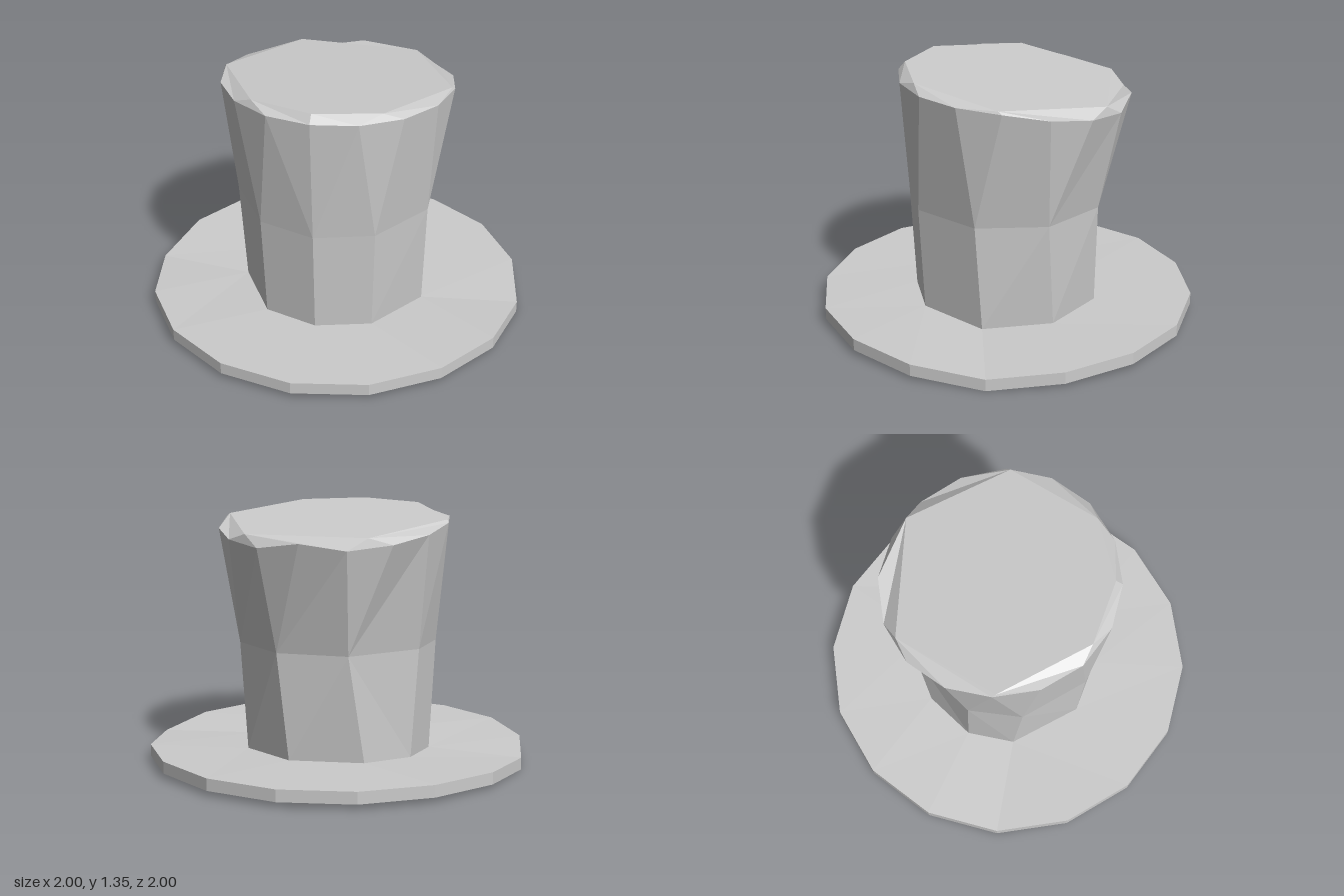
import * as THREE from 'three';

const material = new THREE.MeshStandardMaterial({ color: 0xcccccc, flatShading: true, side: THREE.DoubleSide });

// Point at an angle in degrees, measured from the front (+z) towards +x
function polar(deg, r, yOf, cz = 0) {
  const a = THREE.MathUtils.degToRad(deg);
  const x = r * Math.sin(a), z = r * Math.cos(a) + cz;
  return new THREE.Vector3(x, yOf(z), z);
}

// Triangles joining two closed rings, which may have different point counts
function stitch(a, b) {
  const angle = (ring, i) => {
    const p = ring[i % ring.length];
    const t = Math.atan2(p.x, p.z);
    if (i >= ring.length) return t + 2 * Math.PI;
    return t < -1e-6 ? t + 2 * Math.PI : t;
  };
  const at = (ring, i) => ring[i % ring.length];
  const out = [];
  let i = 0, j = 0;
  while (i < a.length || j < b.length) {
    const stepA = j >= b.length || (i < a.length && angle(a, i + 1) <= angle(b, j + 1));
    if (stepA) out.push(at(a, i), at(a, ++i), at(b, j));
    else out.push(at(a, i), at(b, j + 1), at(b, j++));
  }
  return out;
}

function fan(ring) {
  const out = [];
  for (let i = 1; i < ring.length - 1; i++) out.push(ring[0], ring[i], ring[i + 1]);
  return out;
}

function part(name, points) {
  const geometry = new THREE.BufferGeometry().setFromPoints(points);
  geometry.computeVertexNormals();
  const mesh = new THREE.Mesh(geometry, material);
  mesh.name = name;
  return mesh;
}

export function createModel() {
  const hat = new THREE.Group();
  hat.name = 'topHat';
  const sixteen = Array.from({ length: 16 }, (_, k) => k * 22.5);

  // The brim dips gently towards its two sides
  const thickness = 0.063;
  const brimTop = z => 0.093 - 0.028 * Math.pow(1 - Math.min(1, Math.abs(z) / 0.7), 1.6);
  const brimBottom = z => brimTop(z) - thickness;
  const baseAngles = [0, 35, 81, 125, 167, 213, 247, 277, 325];
  const outerTop = sixteen.map(t => polar(t, 1, brimTop));
  const outerBottom = sixteen.map(t => polar(t, 1, brimBottom));
  const base = baseAngles.map(t => polar(t, 0.495, brimTop));
  const hole = baseAngles.map(t => polar(t, 0.49, brimBottom));
  hat.add(part('brim', [
    ...stitch(outerBottom, outerTop),
    ...stitch(outerTop, base),
    ...stitch(hole, outerBottom),
    ...stitch(base, hole),
  ]));

  // Crown: nine-sided waist flaring to a tilted sixteen-sided rim
  const waistAngles = [0, 35, 78, 120, 161, 203, 250, 282, 325];
  const waist = waistAngles.map(t => polar(t, 0.523, () => 0.645));
  const rimY = z => 1.288 + (z > 0 ? 0.035 : 0.17) * z;
  const rim = sixteen.map(t => polar(t, 0.606, rimY, -0.04));
  rim[8].y = 1.22;
  hat.add(part('crown', [...stitch(base, waist), ...stitch(waist, rim)]));

  // Bevelled edge and flat sloping lid
  const half = [[0.33, 0.43], [0.595, -0.02], [0.32, -0.53]];
  const outline = [[0, 0.53], ...half, ...half.map(([x, z]) => [-x, z]).reverse()];
  const lid = outline.map(([x, z]) => new THREE.Vector3(x, 1.298 + 0.098 * z, z));
  hat.add(part('crownBevel', stitch(rim, lid)));
  hat.add(part('crownLid', fan(lid)));

  return hat;
}
